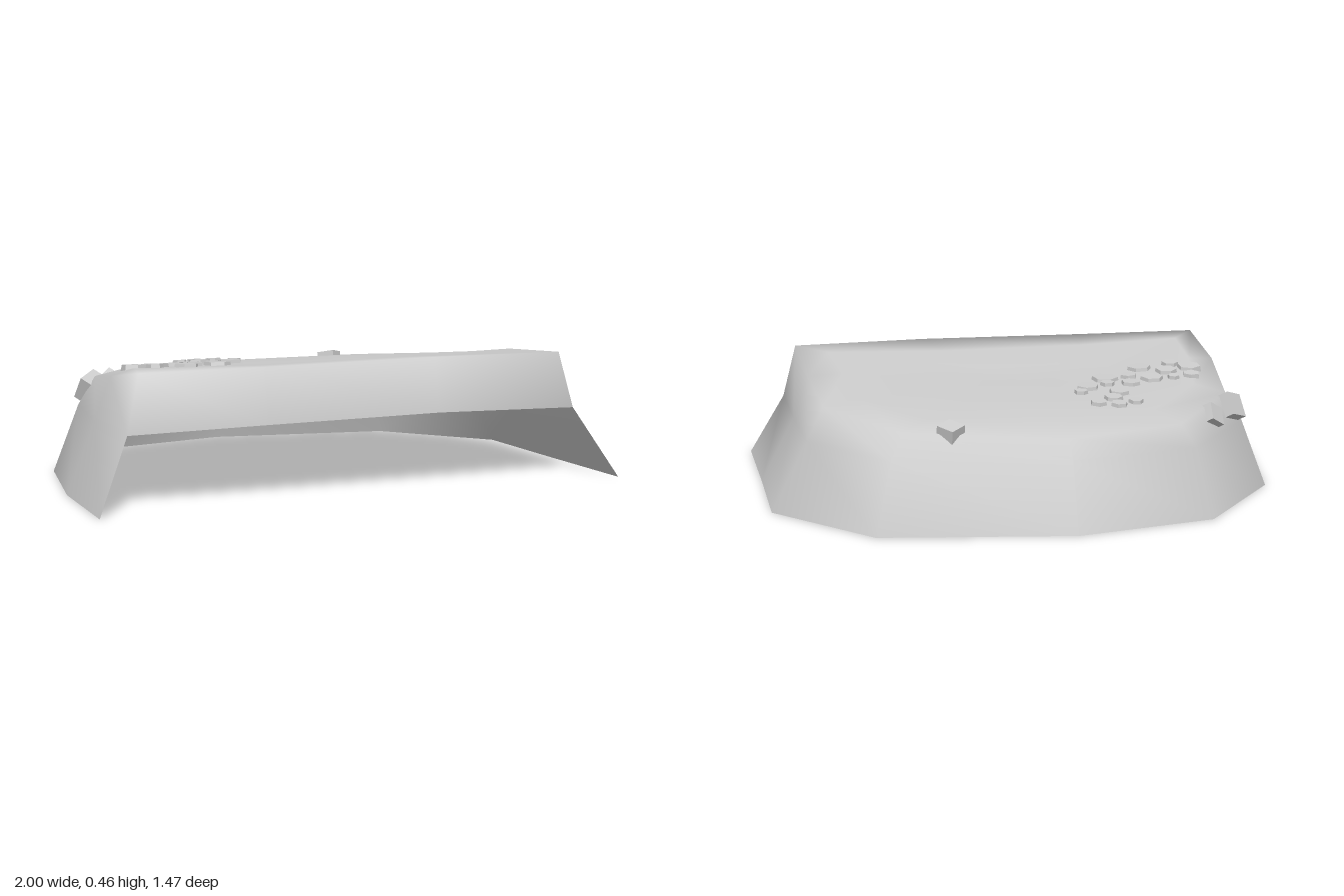
import * as THREE from 'three';

const material = new THREE.MeshStandardMaterial({ color: 0xcccccc, side: THREE.DoubleSide });

// Plan outlines [x, y, z]: right front corner, round the back, left front corner, then along the front lip
const foot = [[-1, 0, 0.68], [-0.965, 0, 0.23], [-0.86, 0, -0.25], [-0.52, 0, -0.65], [0, 0, -0.74],
  [0.685, 0, -0.6], [1, 0, -0.2], [0.99, 0, 0.25], [0.985, 0, 0.73], [0.3, 0, 0.7], [-0.36, 0, 0.7]];
const shoulder = [[-0.86, 0.25, 0.565], [-0.85, 0.25, 0.2], [-0.77, 0.25, -0.22], [-0.47, 0.25, -0.59], [0, 0.25, -0.66],
  [0.62, 0.25, -0.54], [0.865, 0.25, -0.18], [0.865, 0.25, 0.22], [0.86, 0.25, 0.61], [0.3, 0.265, 0.615], [-0.36, 0.26, 0.6]];
const brow = [[-0.81, 0.455, 0.54], [-0.79, 0.405, 0.2], [-0.71, 0.355, -0.2], [-0.43, 0.325, -0.53], [0, 0.31, -0.6],
  [0.57, 0.335, -0.48], [0.8, 0.37, -0.16], [0.81, 0.41, 0.2], [0.81, 0.455, 0.585], [0.3, 0.46, 0.58], [-0.36, 0.455, 0.56]];
const rim = [[-0.7, 0.452, 0.4], [-0.68, 0.42, 0.15], [-0.6, 0.385, -0.16], [-0.36, 0.358, -0.43], [0, 0.35, -0.49],
  [0.47, 0.36, -0.39], [0.66, 0.385, -0.12], [0.68, 0.42, 0.17], [0.7, 0.455, 0.42], [0.25, 0.444, 0.4], [-0.3, 0.442, 0.4]];
const plateau = rim.map(([x, , z]) => [x * 0.5, 0.395 + 0.07 * z * 0.5, z * 0.5]);

function shellGeometry() {
  const rings = [foot, shoulder, brow, rim, plateau];
  const n = foot.length, index = [];
  const positions = [...rings.flat(2), 0, 0.393, 0];
  for (let r = 0; r < rings.length; r++) {
    for (let i = 0; i < n; i++) {
      if (r === 0 && i >= 8) continue; // open mouth below the front lip
      const j = (i + 1) % n, a = r * n + i, b = r * n + j;
      if (r === rings.length - 1) index.push(a, rings.length * n, b);
      else index.push(a, a + n, b + n, a, b + n, b);
    }
  }
  const g = new THREE.BufferGeometry();
  g.setAttribute('position', new THREE.Float32BufferAttribute(positions, 3));
  g.setIndex(index);
  g.computeVertexNormals();
  return g;
}

export function createModel() {
  const group = new THREE.Group();
  const shell = new THREE.Mesh(shellGeometry(), material);
  shell.name = 'rockShell';
  group.add(shell);

  // Sets a stone on the shell, tilted to the slope under it
  const ray = new THREE.Raycaster();
  const up = new THREE.Vector3(0, 1, 0);
  function place(geometry, name, x, z, spin, sink) {
    ray.set(new THREE.Vector3(x, 2, z), new THREE.Vector3(0, -1, 0));
    const hit = ray.intersectObject(shell)[0];
    const normal = hit.face.normal.clone();
    const mesh = new THREE.Mesh(geometry, material);
    mesh.name = name;
    mesh.quaternion.setFromUnitVectors(up, normal);
    mesh.rotateY(spin);
    mesh.position.copy(hit.point).addScaledVector(normal, sink);
    group.add(mesh);
  }

  // Trail of flat hexagonal pebbles: x, z, radius
  const pebbles = [[-0.64, 0.03, 0.05], [-0.58, 0.085, 0.035], [-0.45, 0.065, 0.05], [-0.62, -0.06, 0.036],
    [-0.545, -0.075, 0.025], [-0.54, 0.005, 0.045], [-0.46, -0.07, 0.048], [-0.38, -0.03, 0.036],
    [-0.365, -0.115, 0.04], [-0.285, -0.04, 0.055], [-0.275, -0.11, 0.03], [-0.19, -0.14, 0.046],
    [-0.29, -0.22, 0.042], [-0.25, -0.285, 0.038], [-0.32, -0.335, 0.03], [-0.25, -0.36, 0.034],
    [-0.18, -0.335, 0.034], [-0.15, -0.2, 0.028]];
  pebbles.forEach(([x, z, r], i) => {
    const g = new THREE.CylinderGeometry(r * 0.88, r, 0.026, 6).toNonIndexed();
    g.computeVertexNormals();
    place(g, 'pebble', x, z, i * 1.3, 0);
  });

  // Loose square blocks near the back edge: x, z, size, spin
  for (const [x, z, s, spin] of [[-0.71, -0.24, 0.09, 0.5], [-0.6, -0.36, 0.07, 0.25], [0.4, -0.5, 0.07, 0.7]]) {
    place(new THREE.BoxGeometry(s, s * 0.7, s), 'block', x, z, spin, 0.005);
  }
  return group;
}
